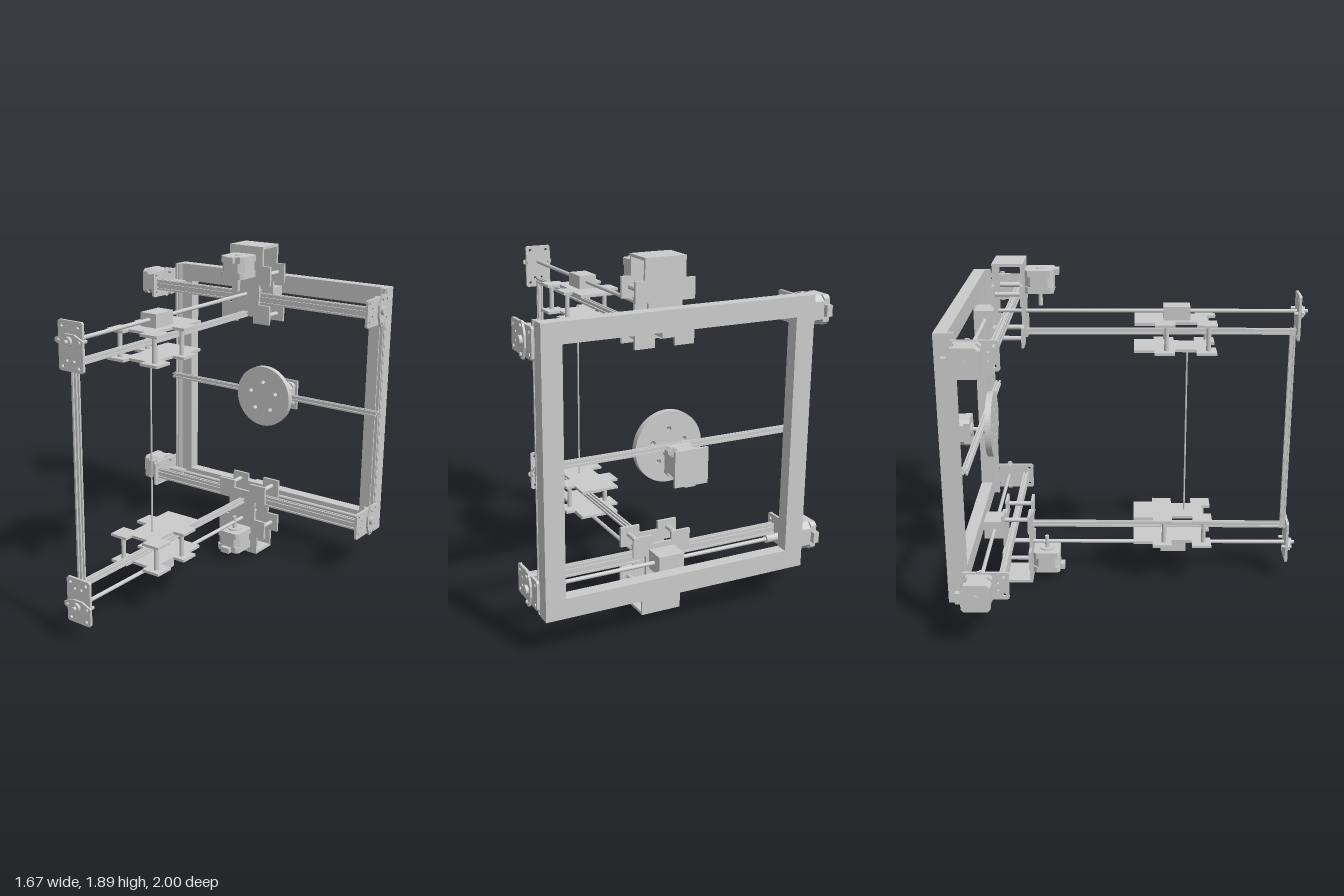
import * as THREE from 'three';

const V = (x, y, z) => new THREE.Vector3(x, y, z);
const X = V(1, 0, 0), Y = V(0, 1, 0), Z = V(0, 0, 1);
const neg = (v) => v.clone().negate();
const CX = 0.038; // centre line of the carriages

export function createModel() {
  const root = new THREE.Group();
  const mat = new THREE.MeshStandardMaterial({ color: 0xcccccc });

  const mesh = (name, geo, parent = root) => {
    const m = new THREE.Mesh(geo, mat);
    m.name = name;
    parent.add(m);
    return m;
  };
  // orient an object so its local y and z follow the given directions
  const place = (obj, pos, yDir, zDir) => {
    const xDir = yDir.clone().cross(zDir);
    obj.quaternion.setFromRotationMatrix(new THREE.Matrix4().makeBasis(xDir, yDir, zDir));
    obj.position.copy(pos);
    return obj;
  };
  const group = (name) => {
    const g = new THREE.Group();
    g.name = name;
    root.add(g);
    return g;
  };
  // box from its limits
  const box = (name, x0, x1, y0, y1, z0, z1, parent) => {
    const m = mesh(name, new THREE.BoxGeometry(x1 - x0, Math.abs(y1 - y0), z1 - z0), parent);
    m.position.set((x0 + x1) / 2, (y0 + y1) / 2, (z0 + z1) / 2);
    return m;
  };
  const rod = (name, a, b, r, parent, sides = 20) => {
    const d = b.clone().sub(a);
    const m = mesh(name, new THREE.CylinderGeometry(r, r, d.length(), sides), parent);
    m.position.copy(a).add(b).multiplyScalar(0.5);
    m.quaternion.setFromUnitVectors(Y, d.normalize());
    return m;
  };
  const poly = (pts) => new THREE.Shape(pts.map(([x, y]) => new THREE.Vector2(x, y)));
  const drill = (shape, x, y, r) => shape.holes.push(new THREE.Path().absarc(x, y, r, 0, Math.PI * 2, true));
  const slab = (shape, depth, centred = true) => {
    const g = new THREE.ExtrudeGeometry(shape, { depth, bevelEnabled: false, curveSegments: 8 });
    return centred ? g.translate(0, 0, -depth / 2) : g;
  };
  const octagon = (h, c) => poly([[h - c, -h], [h, c - h], [h, h - c], [h - c, h],
    [c - h, h], [-h, h - c], [-h, c - h], [c - h, -h]]);

  // slotted rail, n units wide along local x
  const rail = (name, n, centre, length, yDir, zDir) => {
    const u = 0.031, s = 0.005, deep = 0.009, pts = [];
    let p = new THREE.Vector2(-n * u / 2, -u / 2);
    [n, 1, n, 1].forEach((units, side) => {
      const d = new THREE.Vector2([1, 0, -1, 0][side], [0, 1, 0, -1][side]);
      const inward = new THREE.Vector2(-d.y, d.x);
      const at = (t, k) => pts.push(p.clone().addScaledVector(d, t).addScaledVector(inward, k));
      at(0, 0);
      for (let i = 0; i < units; i++) {
        const c = (i + 0.5) * u;
        at(c - s, 0); at(c - s, deep); at(c + s, deep); at(c + s, 0);
      }
      p = p.clone().addScaledVector(d, units * u);
    });
    return place(mesh(name, slab(new THREE.Shape(pts), length)), centre, yDir, zDir);
  };

  // stepper motor: shaft along local +z from the face at z = 0, plug towards local +y
  const motor = (name, pos, yDir, zDir, shaft = 0.08) => {
    const g = place(group(name), pos, yDir, zDir), h = 0.077;
    [[-0.125, 0.035, 0.016], [-0.09, 0.055, 0.03], [-0.035, 0.035, 0.016]].forEach(([z, len, c]) => {
      mesh('motorBody', slab(octagon(h, c), len, false), g).position.z = z;
    });
    rod('motorBoss', V(0, 0, -0.002), V(0, 0, 0.008), 0.04, g);
    rod('motorShaft', V(0, 0, 0), V(0, 0, shaft), 0.012, g);
    rod('rearCap', V(0, 0, -0.129), V(0, 0, -0.124), 0.02, g);
    box('motorPlug', -0.03, 0.03, h - 0.01, h + 0.027, -0.125, -0.092, g);
    return g;
  };

  // end plate with flange bearing, facing local +z
  const endPlate = (name, pos, yDir, zDir) => {
    const g = place(group(name), pos, yDir, zDir);
    const p = octagon(0.125, 0.008);
    p.getPoints();
    const plate = poly([[-0.07, -0.125], [0.07, -0.125], [0.078, -0.117], [0.078, 0.117],
      [0.07, 0.125], [-0.07, 0.125], [-0.078, 0.117], [-0.078, -0.117]]);
    for (const sx of [-1, 1]) {
      drill(plate, sx * 0.052, 0.1, 0.009);
      drill(plate, sx * 0.052, -0.1, 0.009);
      drill(plate, sx * 0.022, -0.07, 0.008);
    }
    mesh('plate', slab(plate, 0.015), g);
    const flange = poly([[-0.09, -0.01], [-0.03, -0.035], [0.03, -0.035], [0.09, -0.01],
      [0.09, 0.01], [0.03, 0.035], [-0.03, 0.035], [-0.09, 0.01]]);
    const f = mesh('bearingFlange', slab(flange, 0.012, false), g);
    f.position.set(0, 0.027, 0.007);
    rod('bearing', V(0, 0.027, 0.01), V(0, 0.027, 0.035), 0.024, g);
    for (const sx of [-1, 1]) {
      rod('flangeBolt', V(sx * 0.067, 0.027, -0.03), V(sx * 0.067, 0.027, 0.028), 0.01, g, 6);
    }
    return g;
  };

  // stepped carriage plate, head towards local +y
  const half = [[0.055, -0.223], [0.165, -0.223], [0.165, -0.113], [0.093, -0.113],
    [0.093, 0.003], [0.165, 0.003], [0.165, 0.113], [0.113, 0.113], [0.113, 0.223]];
  const outline = [[0.055, -0.175], ...half, ...half.map(([x, y]) => [-x, y]).reverse(), [-0.055, -0.175]];
  const carriagePlate = (name, pos, yDir, zDir) =>
    place(mesh(name, slab(poly(outline), 0.015)), pos, yDir, zDir);

  // rear frame with slotted posts and a cross rail
  const frame = poly([[-0.69, 0.21], [0.78, 0.21], [0.78, 1.68], [-0.69, 1.68]]);
  frame.holes.push(new THREE.Path([[-0.585, 0.315], [-0.585, 1.575], [0.675, 1.575], [0.675, 0.315]]
    .map(([x, y]) => new THREE.Vector2(x, y))));
  mesh('rearFrame', slab(frame, 0.07, false)).position.z = -0.92;
  for (const x of [-0.674, 0.764]) rail('framePost', 1, V(x, 0.945, -0.833), 1.47, Z, Y);
  rail('crossRail', 1, V(0.045, 0.955, -0.8), 1.47, Z, X);

  // turntable disc and its motor
  const disc = new THREE.Shape().absarc(0, 0, 0.185, 0, Math.PI * 2);
  for (let i = 0; i < 5; i++) {
    const a = Math.PI / 2 + i * Math.PI * 0.4;
    drill(disc, 0.092 * Math.cos(a), 0.092 * Math.sin(a), 0.013);
  }
  const discGeo = new THREE.ExtrudeGeometry(disc, { depth: 0.035, bevelEnabled: false, curveSegments: 32 });
  mesh('turntable', discGeo).position.set(0.043, 0.948, -0.77);
  motor('turntableMotor', V(0.043, 0.915, -0.868), neg(Y), Z, 0.1);
  box('turntableMotorPlate', -0.05, 0.133, 0.82, 1.005, -1, -0.985);
  rod('turntableHub', V(0.043, 0.925, -0.81), V(0.043, 0.925, -0.77), 0.033);

  // the upper and lower axes mirror each other
  for (const s of [1, -1]) {
    const level = s > 0 ? 'upper' : 'lower';
    const up = s > 0 ? Y : neg(Y);
    const hx = (v) => (s > 0 ? v : 1.89 - v);   // heights on the cross axis
    const hy = (v) => (s > 0 ? v : 1.825 - v);  // heights on the forward arm

    // cross axis
    const sy = hx(1.572);
    rail(level + 'CrossAxisRail', 2, V(0.045, sy, -0.643), 1.47, Z, X);
    rod(level + 'CrossScrew', V(-0.72, sy, -0.755), V(0.82, sy, -0.755), 0.011);
    rod(level + 'ShaftCoupling', V(-0.65, sy, -0.755), V(-0.57, sy, -0.755), 0.022);
    endPlate(level + 'LeftEndPlate', V(0.788, sy, -0.722), neg(Z), X);
    endPlate(level + 'RightEndPlate', V(-0.698, sy, -0.722), neg(Z), neg(X));
    motor(level + 'CrossMotor', V(-0.72, sy, -0.757), neg(Z), X, 0.03);

    // cross carriage
    for (const z of [-0.543, -0.693]) carriagePlate(level + 'CrossCarriagePlate', V(CX - 0.003, hx(1.667), z), up, s > 0 ? Z : neg(Z));
    box(level + 'CarriageLid', CX - 0.116, CX + 0.11, hx(1.875), hx(1.89), -0.7, -0.535);
    box(level + 'CrossNut', CX - 0.073, CX + 0.072, hx(1.52), hx(1.625), -0.813, -0.7);
    for (const dx of [-0.115, 0.115]) for (const y of [1.727, 1.485]) {
      rod(level + 'CrossCarriagePost', V(CX + dx, hx(y), -0.69), V(CX + dx, hx(y), -0.545), 0.013);
    }
    motor(level + 'ArmMotor', V(CX, hx(1.72), -0.455), Z, neg(up));

    // forward arm
    rail(level + 'ArmRail', 1, V(CX, hy(1.495), 0.2), 1.48, Y, Z);
    rod(level + 'ArmScrew', V(CX, hy(1.61), -0.69), V(CX, hy(1.61), 1), 0.011);
    endPlate(level + 'ArmEndPlate', V(CX, hy(1.583), 0.947), up, Z);

    // arm carriage
    for (const y of [1.563, 1.41]) carriagePlate(level + 'ArmCarriagePlate', V(CX - 0.003, hy(y), 0.278), neg(Z), Y);
    for (const dx of [-0.115, 0.115]) for (const z of [0.23, 0.457]) {
      rod(level + 'ArmCarriagePost', V(CX + dx, hy(1.56), z), V(CX + dx, hy(1.41), z), 0.013);
    }
    box(level + 'ArmNut', CX - 0.056, CX + 0.046, hy(1.57), hy(1.645), 0.213, 0.358);
  }

  // front upright and cutting wire
  rail('frontUpright', 1, V(CX, 0.9125, 0.925), 1.2, Z, Y);
  rod('wire', V(CX, 0.415, 0.347), V(CX, 1.41, 0.347), 0.005, root, 8);

  return root;
}
